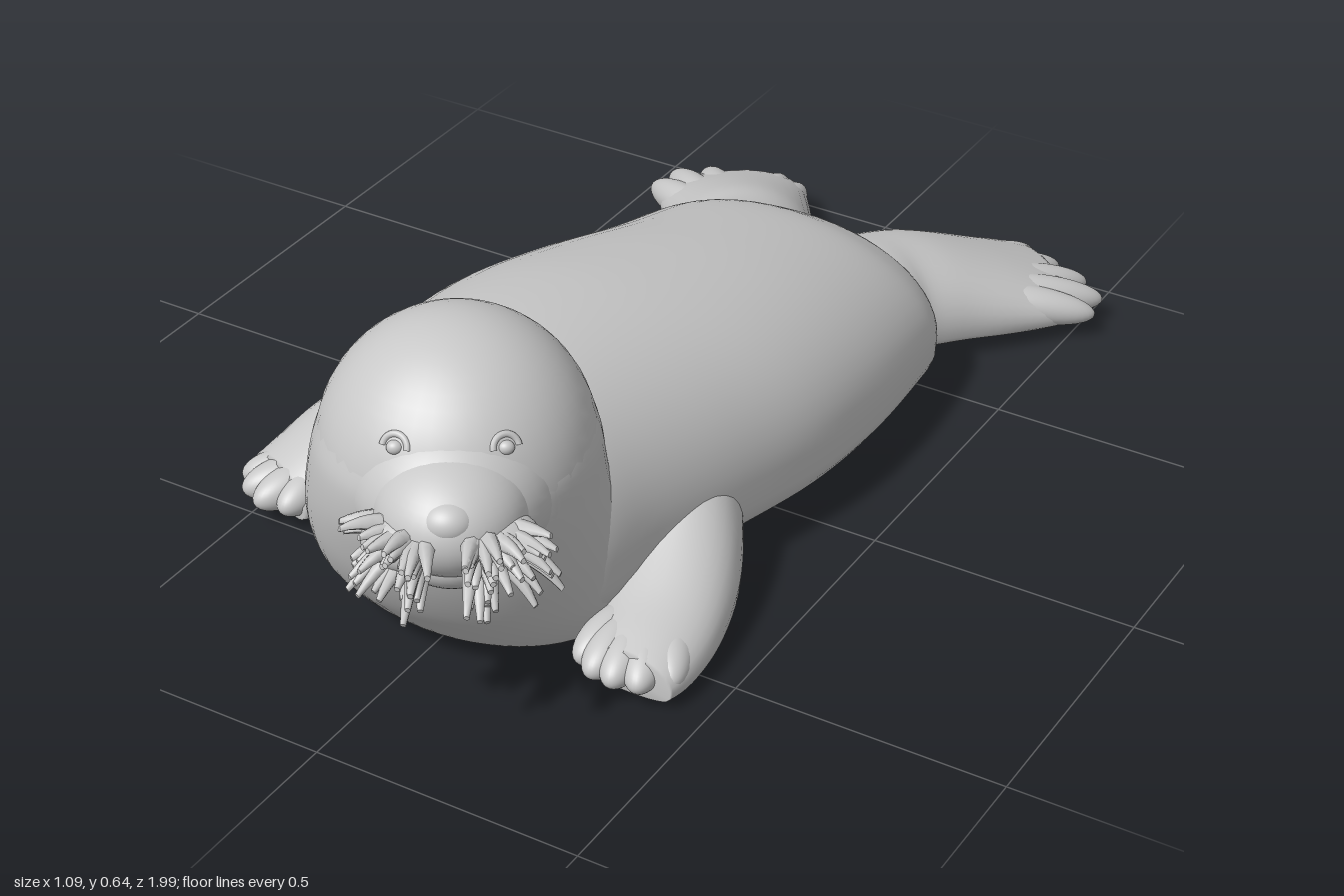
import * as THREE from 'three';
import { mergeGeometries } from 'three/addons/utils/BufferGeometryUtils.js';

const skin = new THREE.MeshStandardMaterial({ color: 0xc8c8c8 });
skin.name = 'grey skin';

function mesh(geometry, name) {
  const m = new THREE.Mesh(geometry, skin);
  m.name = name;
  return m;
}

// Smoothly resample a table of stations along its length
function resample(rows, steps) {
  const out = [];
  const at = (i) => rows[Math.min(rows.length - 1, Math.max(0, i))];
  for (let i = 0; i < rows.length - 1; i++) {
    for (let s = 0; s < steps; s++) {
      const t = s / steps;
      out.push(rows[i].map((b, k) => {
        const a = at(i - 1)[k], c = at(i + 1)[k], d = at(i + 2)[k];
        return b + 0.5 * t * (c - a + t * (2 * a - 5 * b + 4 * c - d + t * (3 * (b - c) + d - a)));
      }));
    }
  }
  out.push(rows[rows.length - 1]);
  return out;
}

// Skin a list of closed rings and cap both ends
function loft(rings) {
  const n = rings[0].length, pos = [], idx = [];
  rings.forEach((r) => r.forEach((p) => pos.push(p.x, p.y, p.z)));
  for (let i = 0; i < rings.length - 1; i++) {
    for (let j = 0; j < n; j++) {
      const a = i * n + j, b = i * n + (j + 1) % n;
      idx.push(a, b, a + n, b, b + n, a + n);
    }
  }
  [0, rings.length - 1].forEach((i) => {
    const c = new THREE.Vector3();
    rings[i].forEach((p) => c.addScaledVector(p, 1 / n));
    const k = pos.length / 3;
    pos.push(c.x, c.y, c.z);
    for (let j = 0; j < n; j++) {
      const a = i * n + j, b = i * n + (j + 1) % n;
      if (i === 0) idx.push(k, b, a);
      else idx.push(k, a, b);
    }
  });
  const g = new THREE.BufferGeometry();
  g.setAttribute('position', new THREE.Float32BufferAttribute(pos, 3));
  g.setIndex(idx);
  g.computeVertexNormals();
  return g;
}

// Rounded section with a flattened belly; side is the horizontal width direction
function section(cx, cz, side, halfW, yb, yt, count) {
  const mid = yb + (yt - yb) * 0.37, ring = [];
  for (let j = 0; j < count; j++) {
    const a = (j / count) * Math.PI * 2, s = Math.sin(a);
    const w = halfW * Math.cos(a);
    const y = s > 0 ? mid + (yt - mid) * s : mid - (mid - yb) * (-s) ** 0.55;
    ring.push(new THREE.Vector3(cx + side.x * w, y, cz + side.z * w));
  }
  return ring;
}

// Level elliptical ring for upright parts
function levelRing([y, cx, cz, rx, rz]) {
  return Array.from({ length: 56 }, (_, j) => {
    const a = (j / 56) * Math.PI * 2;
    return new THREE.Vector3(cx + rx * Math.sin(a), y, cz + rz * Math.cos(a));
  });
}

function ellipsoid(name, p, r) {
  const m = mesh(new THREE.SphereGeometry(1, 40, 28), name);
  m.position.set(...p);
  m.scale.set(...r);
  return m;
}

// Limb with rows of [x, z, halfWidth, bottom, top]; toes are [tipX, tipZ], fanned from one row
function flipper(name, rows, toes, toeLength, toeR, fanRow, pitch) {
  const g = new THREE.Group();
  g.name = name;
  const st = resample(rows, 5);
  const rings = st.map((r, i) => {
    const a = st[Math.max(0, i - 1)], b = st[Math.min(st.length - 1, i + 1)];
    const d = new THREE.Vector3(b[0] - a[0], 0, b[1] - a[1]).normalize();
    return section(r[0], r[1], new THREE.Vector3(d.z, 0, -d.x), r[2], r[3], r[4], 32);
  });
  g.add(mesh(loft(rings), 'limb'));
  const fan = rows[fanRow];
  toes.forEach(([x, z]) => {
    const d = new THREE.Vector3(x - fan[0], 0, z - fan[1]).normalize(), half = toeLength / 2;
    const toe = ellipsoid('toe', [x - d.x * half, toeR + 0.008 + half * Math.sin(pitch), z - d.z * half],
      [toeR, toeR, half]);
    toe.rotation.set(pitch, Math.atan2(d.x, d.z), 0, 'YXZ');
    g.add(toe);
  });
  return g;
}

function seeded(seed) {
  return () => (seed = (seed * 16807) % 2147483647) / 2147483647;
}

// One side of the moustache: thick drooping tufts
function whiskers(side) {
  const rnd = seeded(side > 0 ? 91 : 37), parts = [];
  const up = new THREE.Vector3(0, 1, 0);
  for (let i = 0; i < 38; i++) {
    const u = rnd(), v = rnd() * 2 - 1, len = 0.045 + rnd() * 0.03;
    const tuft = new THREE.CylinderGeometry(0.005, 0.016, len, 7, 4);
    tuft.translate(0, len / 2, 0);
    const dir = new THREE.Vector3(side * (u * 1.1 - 0.1), v * 0.45 - 0.1, 1.1 - u * 0.9).normalize();
    tuft.applyQuaternion(new THREE.Quaternion().setFromUnitVectors(up, dir));
    const p = tuft.attributes.position;
    for (let k = 0; k < p.count; k++) {
      const d = Math.hypot(p.getX(k), p.getY(k), p.getZ(k));
      p.setY(k, p.getY(k) - 4 * d * d);
    }
    tuft.translate(side * (0.035 + u * 0.09), -0.01 + v * 0.035, 0.32 - u * u * 0.085);
    tuft.computeVertexNormals();
    parts.push(tuft);
  }
  return mesh(mergeGeometries(parts), 'whiskers');
}

export function createModel() {
  const model = new THREE.Group();
  model.name = 'seal';

  // Body stations: z, left edge, right edge, bottom, top
  const bodyRows = [
    [-0.66, 0.02, 0.08, 0.08, 0.13], [-0.635, -0.11, 0.22, 0.02, 0.19], [-0.58, -0.19, 0.31, 0.005, 0.245],
    [-0.5, -0.25, 0.365, 0.003, 0.3], [-0.4, -0.27, 0.385, 0.002, 0.35], [-0.2, -0.29, 0.4, 0, 0.405],
    [0, -0.34, 0.39, 0, 0.45], [0.2, -0.365, 0.345, 0, 0.485], [0.4, -0.345, 0.29, 0, 0.5],
    [0.53, -0.295, 0.265, 0.004, 0.48], [0.62, -0.225, 0.225, 0.04, 0.44], [0.68, -0.13, 0.16, 0.11, 0.38],
    [0.71, -0.02, 0.06, 0.2, 0.28],
  ];
  const sideX = new THREE.Vector3(1, 0, 0);
  model.add(mesh(loft(resample(bodyRows, 6).map(([z, l, r, b, t]) =>
    section((l + r) / 2, z, sideX, (r - l) / 2, b, t, 56))), 'body'));

  // Neck and chest, running smoothly down from the head: y, centre x, centre z, radius x, radius z
  const chestRows = [
    [0.004, -0.01, 0.46, 0.23, 0.17], [0.03, -0.01, 0.475, 0.252, 0.19], [0.08, -0.01, 0.5, 0.266, 0.213],
    [0.14, -0.008, 0.53, 0.27, 0.232], [0.21, 0, 0.558, 0.268, 0.245], [0.28, 0.01, 0.582, 0.262, 0.25],
    [0.35, 0.024, 0.606, 0.25, 0.247], [0.42, 0.035, 0.62, 0.238, 0.24], [0.47, 0.037, 0.622, 0.222, 0.225],
  ];
  model.add(mesh(loft(resample(chestRows, 5).map(levelRing)), 'chest'));

  // Head, turned towards its left
  const head = new THREE.Group();
  head.name = 'head';
  head.position.set(0.037, 0.4, 0.622);
  head.rotation.y = 0.54;
  head.add(ellipsoid('skull', [0, 0, 0], [0.235, 0.24, 0.238]));
  head.add(ellipsoid('cheeks', [0, 0, 0.1], [0.175, 0.15, 0.18]));
  head.add(ellipsoid('muzzle', [0, 0.01, 0.18], [0.13, 0.105, 0.15]));
  head.add(ellipsoid('chin', [0, -0.055, 0.16], [0.11, 0.075, 0.135]));
  head.add(ellipsoid('nose', [0, 0.045, 0.285], [0.045, 0.035, 0.04]));
  for (const s of [-1, 1]) {
    const pad = ellipsoid('whiskerPad', [s * 0.075, -0.01, 0.265], [0.072, 0.045, 0.055]);
    pad.rotation.y = s * 0.5;
    head.add(pad);
    head.add(ellipsoid('eye', [s * 0.088, 0.115, 0.184], [0.014, 0.012, 0.012]));
    const lid = mesh(new THREE.TorusGeometry(0.022, 0.006, 10, 24, Math.PI), 'eyelid');
    lid.position.set(s * 0.088, 0.115, 0.185);
    lid.rotation.set(-0.5, s * 0.44, 0, 'YXZ');
    head.add(lid, whiskers(s));
  }
  model.add(head);

  // Front flippers
  model.add(flipper('leftFrontFlipper', [
    [0.17, 0.12, 0.1, 0.02, 0.3], [0.245, 0.25, 0.11, 0.01, 0.24], [0.3, 0.36, 0.112, 0.006, 0.175],
    [0.335, 0.47, 0.108, 0.004, 0.125], [0.35, 0.56, 0.1, 0.004, 0.1], [0.35, 0.61, 0.09, 0.008, 0.085]],
  [[0.265, 0.625], [0.302, 0.65], [0.345, 0.655], [0.392, 0.645], [0.435, 0.605]], 0.17, 0.038, 2, 0.12));
  model.add(flipper('rightFrontFlipper', [
    [-0.2, 0.17, 0.14, 0.02, 0.34], [-0.33, 0.28, 0.14, 0.01, 0.265], [-0.405, 0.355, 0.125, 0.006, 0.18],
    [-0.445, 0.415, 0.112, 0.004, 0.12], [-0.468, 0.46, 0.093, 0.008, 0.09]],
  [[-0.55, 0.42], [-0.545, 0.465], [-0.515, 0.505], [-0.47, 0.53], [-0.415, 0.525]], 0.17, 0.038, 2, 0.12));

  // Hind flippers: broad ridged fans, mirrored about the tail
  const hind = [
    [0.12, -0.42, 0.13, 0.015, 0.25], [0.17, -0.54, 0.142, 0.012, 0.24], [0.2, -0.625, 0.138, 0.012, 0.22],
    [0.25, -0.7, 0.14, 0.012, 0.195], [0.315, -0.79, 0.148, 0.012, 0.15], [0.37, -0.865, 0.15, 0.015, 0.11],
    [0.405, -0.91, 0.132, 0.018, 0.085]];
  const hindToes = [[0.275, -0.985], [0.33, -0.999], [0.4, -0.975], [0.475, -0.945], [0.53, -0.9], [0.542, -0.84]];
  const flip = ([x, ...rest]) => [0.085 - x, ...rest];
  model.add(flipper('leftHindFlipper', hind, hindToes, 0.28, 0.037, 2, 0.2));
  model.add(flipper('rightHindFlipper', hind.map(flip), hindToes.map(flip), 0.28, 0.037, 2, 0.2));

  return model;
}
